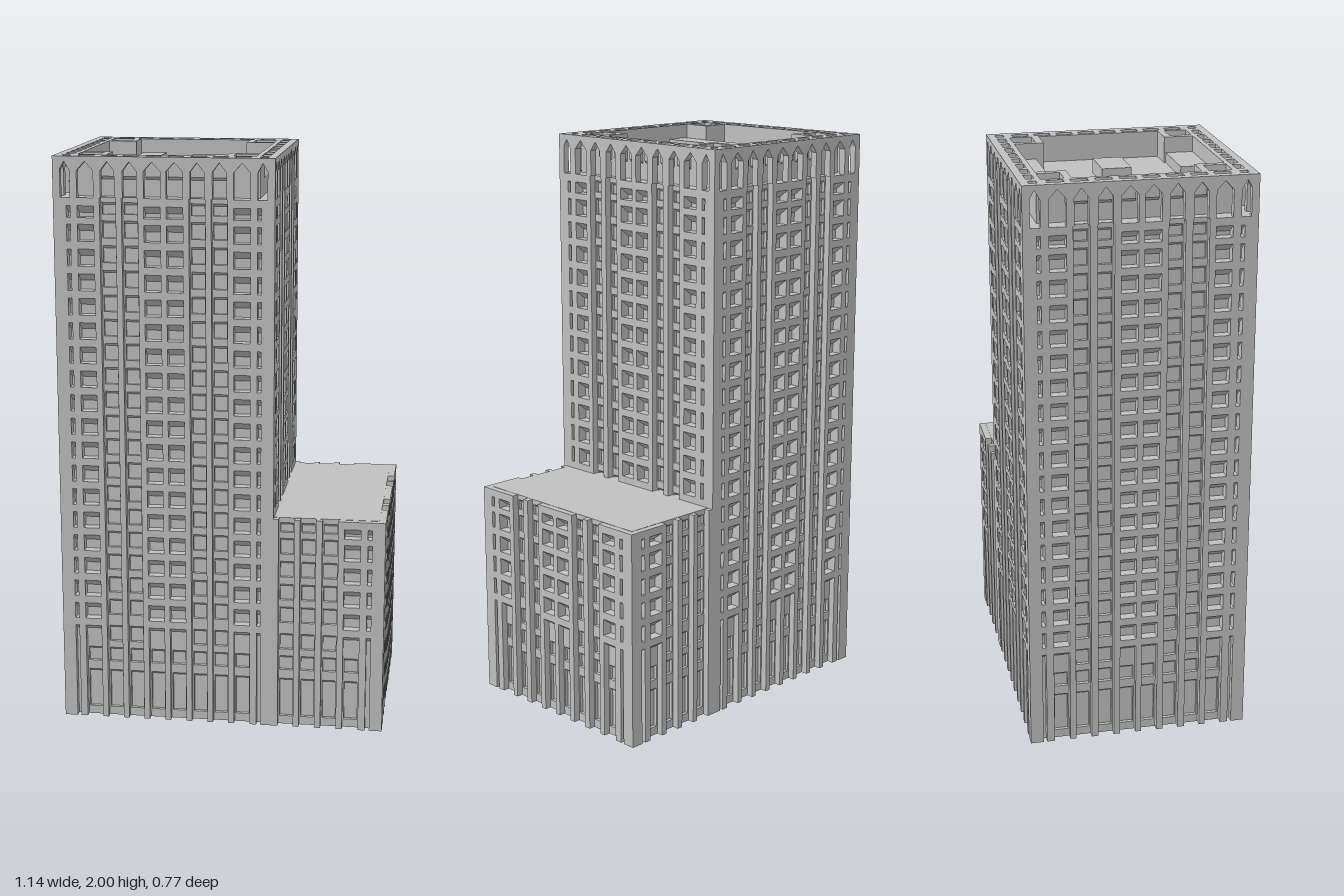
import * as THREE from 'three';
import { mergeGeometries } from 'three/addons/utils/BufferGeometryUtils.js';

const stone = new THREE.MeshStandardMaterial({ color: 0xc0c0c0 });
stone.name = 'pale stone';

const TOWER_X = -0.195, HALF_W = 0.375, HALF_D = 0.385;
const ARCADE_Y = 1.862, TOP_Y = 2, PODIUM_Y = 0.765;
const GLASS = 0.035, PLANE = 0.012; // recess of the glass; relief of the set-back wall plane
const WIDTH = { corner: 0.036, wide: 0.056, narrow: 0.055 };
const KINDS = ['corner', 'wide', 'narrow', 'narrow', 'wide', 'wide', 'narrow', 'narrow', 'wide', 'corner'];

const makeBays = (offsets) => KINDS.map((kind, i) => ({
  kind, u: i < 5 ? -offsets[4 - i] : offsets[i - 5], w: WIDTH[kind],
}));
const BAYS_X = makeBays([0.038, 0.114, 0.189, 0.265, 0.335]);
const BAYS_Z = makeBays([0.038, 0.116, 0.195, 0.272, 0.345]);
const PODIUM_BAYS = [0.225, 0.3, 0.377, 0.454, 0.525].map((u, i) => {
  const kind = i < 3 ? 'narrow' : i === 3 ? 'wide' : 'corner';
  return { kind, u, w: WIDTH[kind] };
});

function box(x0, x1, y0, y1, z0, z1) {
  return new THREE.BoxGeometry(x1 - x0, y1 - y0, z1 - z0)
    .translate((x0 + x1) / 2, (y0 + y1) / 2, (z0 + z1) / 2).toNonIndexed();
}

function polygon(points) {
  return new THREE.Shape(points.map(([x, y]) => new THREE.Vector2(x, y)));
}

function rect(x0, x1, y0, y1) {
  return polygon([[x0, y0], [x1, y0], [x1, y1], [x0, y1]]);
}

// Heights of the window heads up to a given wall top
function windowHeads(top) {
  const heads = [];
  for (let y = 0.345; y < top - 0.06; y += 0.084) heads.push(y);
  heads.push(top - 0.027);
  return heads;
}

// One vertical strip of windows: a comb-like section with sloping soffits
function bayGeometry({ kind, u, w }, top) {
  const p = [[-0.01, 0], [PLANE, 0]];
  const opening = (sill, head, relief) => p.push(
    [relief, sill], [0, sill], [0, head - relief * 0.75], [relief, head]);
  if (kind !== 'corner') {
    opening(0.03, 0.172, PLANE);
    opening(0.205, 0.257, PLANE);
  }
  const narrow = kind === 'narrow';
  const relief = narrow ? PLANE : GLASS;
  let previous = 0.257;
  windowHeads(top).forEach((y, i) => {
    const head = y + (narrow && i > 0 ? 0.01 : 0) - (narrow && i === 0 ? 0.005 : 0);
    if (i === 0 && !narrow) p.push([PLANE, y - 0.017], [GLASS, y]);
    else opening(Math.max(head - 0.058, previous + 0.022), head, relief);
    previous = head;
  });
  p.push([relief, top], [-0.01, top]);
  const parts = [new THREE.ExtrudeGeometry(polygon(p), { depth: w, bevelEnabled: false })
    .rotateY(-Math.PI / 2).translate(u + w / 2, 0, -GLASS)];
  // jambs beside the narrower openings
  if (kind !== 'corner') {
    const jambTop = narrow ? top : 0.33;
    for (const s of [-1, 1]) {
      const c = u + s * (w / 2 - 0.0025);
      parts.push(box(c - 0.0025, c + 0.0025, 0, jambTop - 0.001, -GLASS - 0.005, PLANE - GLASS - 0.0004));
    }
  }
  return parts;
}

// Projecting piers fill the spaces between bays
function pierGeometry(bays, start, end, top) {
  const edges = [start, ...bays.flatMap((b) => [b.u - b.w / 2, b.u + b.w / 2]), end];
  const parts = [];
  for (let i = 0; i < edges.length; i += 2) {
    parts.push(box(edges[i], edges[i + 1], 0, top, -GLASS - 0.01, 0));
  }
  return parts;
}

// Screen of pointed arches around the top storey
function arcadeGeometry(bays, half) {
  const p = [[-half, ARCADE_Y]];
  for (const { kind, u, w } of bays) {
    const h = kind === 'narrow' ? 0.0235 : w / 2;
    p.push([u - h, ARCADE_Y], [u - h, 1.952], [u, 1.983], [u + h, 1.952], [u + h, ARCADE_Y]);
  }
  p.push([half, ARCADE_Y], [half, 1.988], [-half, 1.988]);
  return new THREE.ExtrudeGeometry(polygon(p), { depth: 0.025, bevelEnabled: false })
    .translate(0, 0, -0.025);
}

// Shallow hoods on the wall behind the arches
function hoodGeometry(bays) {
  const section = polygon([[-0.005, 1.915], [0.012, 1.93], [0.012, 1.986], [-0.005, 1.986]]);
  return bays.slice(2, 8).map(({ u, w }) => new THREE.ExtrudeGeometry(section, { depth: w, bevelEnabled: false })
    .rotateY(-Math.PI / 2).translate(u + w / 2, 0, -0.055));
}

function mesh(name, parts) {
  const flat = parts.map((g) => (g.index ? g.toNonIndexed() : g));
  const m = new THREE.Mesh(mergeGeometries(flat), stone);
  m.name = name;
  return m;
}

function facade(name, bays, start, end, top) {
  const g = new THREE.Group();
  g.name = name;
  g.add(mesh('windowBays', bays.flatMap((b) => bayGeometry(b, top))));
  g.add(mesh('piers', pierGeometry(bays, start, end, top)));
  return g;
}

// Flat plan shape raised between two heights
function slab(shape, y0, y1) {
  return new THREE.ExtrudeGeometry(shape, { depth: y1 - y0, bevelEnabled: false })
    .rotateX(-Math.PI / 2).translate(0, y0, 0);
}

function roofHoles() {
  const [a, b, c, d] = [0.303, 0.203, 0.212, 0.313];
  const holes = [polygon([[-a, -c], [-b, -c], [-b, -d], [b, -d], [b, -c], [a, -c],
    [a, c], [b, c], [b, d], [-b, d], [-b, c], [-a, c]])];
  for (const s of [-1, 1]) for (const t of [-1, 1]) {
    const x = s * 0.265, z = t * 0.275;
    holes.push(rect(x - 0.038, x + 0.038, z - 0.038, z + 0.038));
  }
  return holes;
}

function ventHoles() {
  const holes = [];
  for (const s of [-1, 1]) {
    const z = s * (HALF_D - 0.041), x = s * (HALF_W - 0.041);
    BAYS_X.forEach(({ kind, u }) => {
      const h = kind === 'corner' ? 0.014 : 0.026;
      holes.push(rect(u - h, u + h, z - 0.014, z + 0.014));
    });
    BAYS_Z.slice(1, 9).forEach(({ u }) => holes.push(rect(x - 0.014, x + 0.014, u - 0.028, u + 0.028)));
  }
  return holes;
}

function createTower() {
  const tower = new THREE.Group();
  tower.name = 'tower';
  const sides = [['front', 0], ['left', 1], ['back', 2], ['right', 3]];
  for (const [name, turn] of sides) {
    const across = turn % 2 === 0;
    const bays = across ? BAYS_X : BAYS_Z;
    const half = across ? HALF_W : HALF_D, out = across ? HALF_D : HALF_W;
    const side = facade(name + 'Facade', bays, -half, half, ARCADE_Y);
    side.add(mesh('arcade', [arcadeGeometry(bays, half)]));
    side.add(mesh('hoods', hoodGeometry(bays)));
    const angle = turn * Math.PI / 2;
    side.rotation.y = angle;
    side.position.set(Math.sin(angle) * out, 0, Math.cos(angle) * out);
    tower.add(side);
  }
  const w = HALF_W - 0.04, d = HALF_D - 0.04;
  tower.add(mesh('core', [box(-w, w, 0, ARCADE_Y, -d, d)]));

  // roof ring with a sunken court, corner pits and vent slots
  const ring = rect(-HALF_W + 0.055, HALF_W - 0.055, -HALF_D + 0.055, HALF_D - 0.055);
  ring.holes = roofHoles();
  tower.add(mesh('innerParapet', [slab(ring, ARCADE_Y - 0.002, 1.987)]));
  const cap = rect(-HALF_W, HALF_W, -HALF_D, HALF_D);
  cap.holes = [...roofHoles(), ...ventHoles()];
  tower.add(mesh('roofCap', [slab(cap, 1.986, TOP_Y)]));

  // court floor and roof structures
  tower.add(mesh('courtFloor', [slab(roofHoles()[0], 1.86, 1.91)]));
  tower.add(mesh('roofStructures', [
    box(-0.194, -0.11, 1.9, 1.95, -0.313, 0.313),
    box(-0.008, 0.203, 1.9, 1.945, -0.313, -0.238),
    box(-0.008, 0.203, 1.9, 1.945, 0.218, 0.313),
    box(-0.045, 0.112, 1.9, 1.96, -0.06, 0.04),
  ]));
  tower.position.x = TOWER_X;
  return tower;
}

function createPodium() {
  const podium = new THREE.Group();
  podium.name = 'podium';
  const x0 = 0.18, x1 = 0.567;
  const front = facade('podiumFront', PODIUM_BAYS, x0, x1, PODIUM_Y);
  front.position.z = HALF_D;
  const mirrored = PODIUM_BAYS.map((b) => ({ ...b, u: -b.u })).reverse();
  const back = facade('podiumBack', mirrored, -x1, -x0, PODIUM_Y);
  back.rotation.y = Math.PI;
  back.position.z = -HALF_D;
  const end = facade('podiumEnd', BAYS_Z, -HALF_D, HALF_D, PODIUM_Y);
  end.rotation.y = Math.PI / 2;
  end.position.x = x1;
  podium.add(front, back, end);
  podium.add(mesh('podiumCore', [box(0.13, x1 - 0.04, 0, 0.755, -0.345, 0.345)]));
  podium.add(mesh('podiumRoof', [box(0.14, x1 - 0.023, 0.755, PODIUM_Y + 0.001, -0.362, 0.362)]));
  return podium;
}

export function createModel() {
  const model = new THREE.Group();
  model.name = 'officeTower';
  model.add(createTower(), createPodium());
  return model;
}
